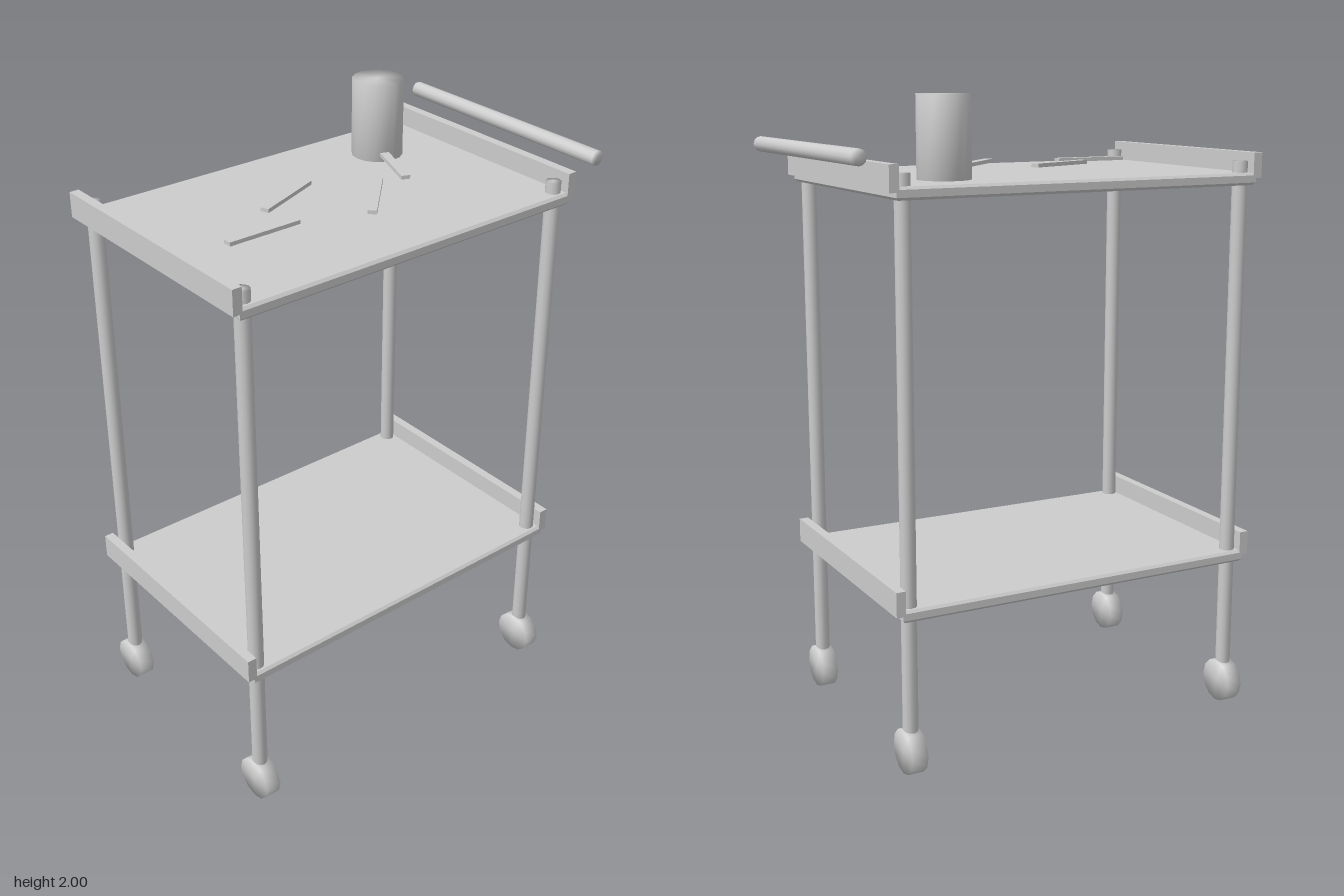
import * as THREE from 'three';
import { mergeVertices } from 'three/addons/utils/BufferGeometryUtils.js';

const grey = new THREE.MeshStandardMaterial({ color: 0xcccccc });
grey.name = 'light grey';

const CX = -0.057; // middle of the cart frame
const LEG_X = 0.572, LEG_Z = 0.368;

// Cylinder with shared normals that run softly over the rims
function softCylinder(radius, length, sides) {
  const g = new THREE.CylinderGeometry(radius, radius, length, sides);
  g.deleteAttribute('uv');
  g.deleteAttribute('normal');
  const merged = mergeVertices(g, 1e-4);
  merged.computeVertexNormals();
  return merged;
}

export function createModel() {
  const model = new THREE.Group();
  model.name = 'servingCart';

  const add = (name, geometry, x, y, z) => {
    const mesh = new THREE.Mesh(geometry, grey);
    mesh.name = name;
    mesh.position.set(x, y, z);
    model.add(mesh);
    return mesh;
  };

  // Shelf panel with small chamfers along its edges
  const bevel = 0.008, w = 1.212 / 2 - bevel, d = 0.812 / 2 - bevel;
  const outline = new THREE.Shape([
    new THREE.Vector2(-w, -d), new THREE.Vector2(w, -d),
    new THREE.Vector2(w, d), new THREE.Vector2(-w, d),
  ]);
  const panel = new THREE.ExtrudeGeometry(outline, {
    depth: 0.022, bevelEnabled: true, bevelThickness: bevel, bevelSize: bevel, bevelSegments: 1,
  });
  panel.rotateX(-Math.PI / 2);
  panel.translate(0, bevel, 0);

  // Two shelves, each with an upright lip at both ends
  const lip = new THREE.BoxGeometry(0.03, 0.078, 0.812);
  for (const [level, y] of [['upper', 1.717], ['lower', 0.491]]) {
    add(level + 'Shelf', panel, CX, y, 0);
    for (const s of [-1, 1]) add(level + 'EndLip', lip, CX + s * 0.612, y + 0.061, 0);
  }

  // Four legs and their wheels
  const leg = softCylinder(0.024, 1.69, 12);
  const wheel = softCylinder(0.07, 0.052, 12);
  wheel.rotateZ(Math.PI / 2);
  for (const sx of [-1, 1]) {
    for (const sz of [-1, 1]) {
      add('leg', leg, CX + sx * LEG_X, 0.945, sz * LEG_Z);
      add('wheel', wheel, CX + sx * LEG_X, 0.07, sz * LEG_Z);
    }
  }

  // Push handle floating beside the upper shelf
  const handle = softCylinder(0.024, 0.812, 12);
  handle.rotateX(Math.PI / 2);
  add('handle', handle, 0.657, 1.838, 0);

  // Cup on the upper shelf
  add('cup', softCylinder(0.081, 0.247, 16), 0.31, 1.8765, -0.207);

  // Loose sticks: x, z, turn
  const stick = new THREE.BoxGeometry(0.245, 0.012, 0.028);
  for (const [x, z, turn] of [
    [-0.363, 0.098, 0], [-0.158, -0.064, 0.38], [0.045, 0.1, 0.8], [0.252, -0.064, 1.2],
  ]) add('stick', stick, x, 1.779, z).rotation.y = turn;

  return model;
}
